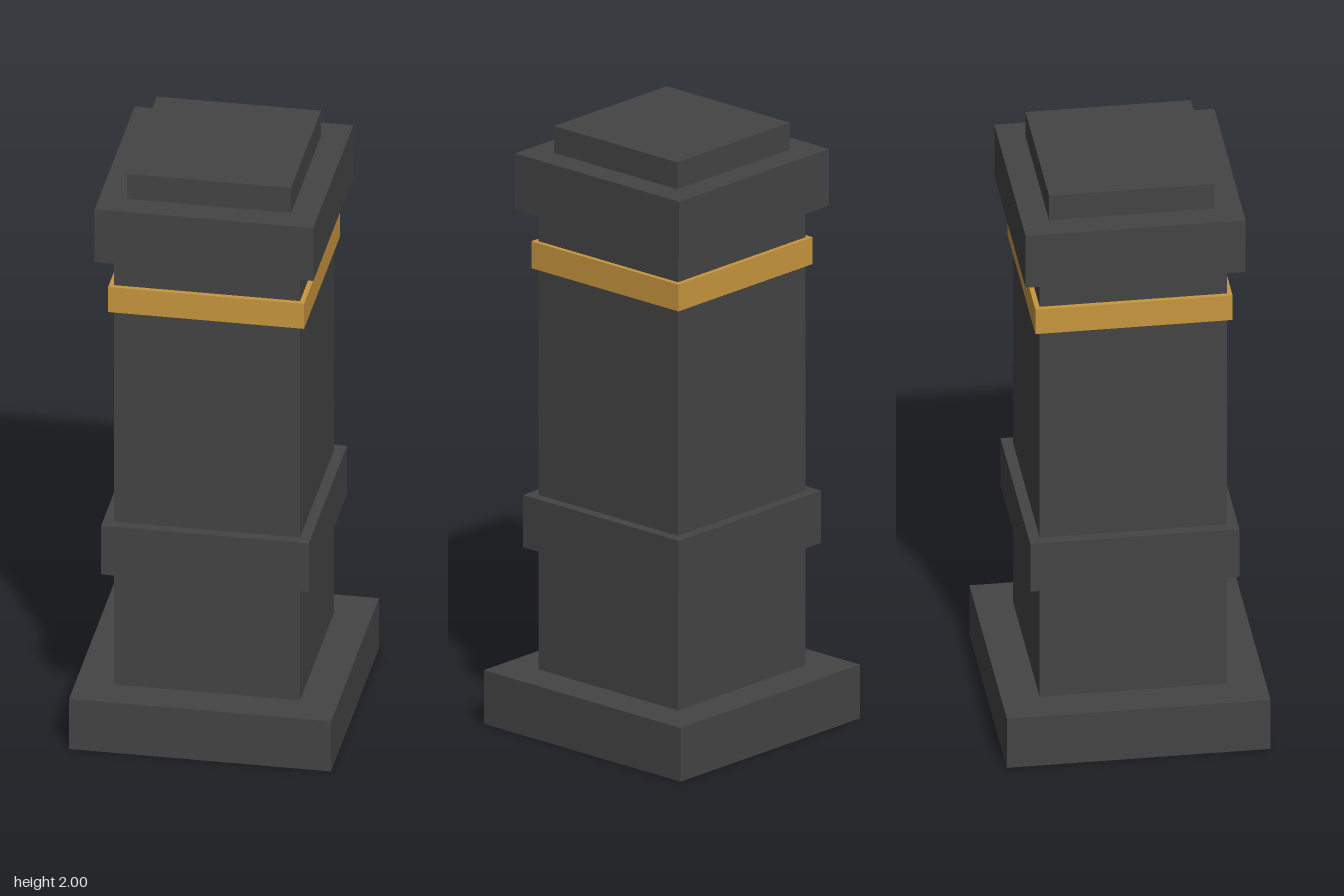
import * as THREE from 'three';

export function createModel() {
  const stone = new THREE.MeshStandardMaterial({ color: 0x444444 });
  stone.name = 'dark stone';
  const gold = new THREE.MeshStandardMaterial({ color: 0xc8963e });
  gold.name = 'gold';

  const model = new THREE.Group();
  model.name = 'pillar';

  // Square block centred on the axis, from height y0 to y1
  function block(name, width, y0, y1, material) {
    const mesh = new THREE.Mesh(new THREE.BoxGeometry(width, y1 - y0, width), material);
    mesh.name = name;
    mesh.position.y = (y0 + y1) / 2;
    model.add(mesh);
  }

  block('base', 0.845, 0, 0.18, stone);
  block('shaft', 0.6, 0.18, 1.72, stone);
  block('collar', 0.67, 0.59, 0.765, stone);
  block('goldBand', 0.632, 1.525, 1.615, gold);
  block('capital', 0.705, 1.72, 1.91, stone);
  block('topSlab', 0.53, 1.91, 2, stone);

  return model;
}
